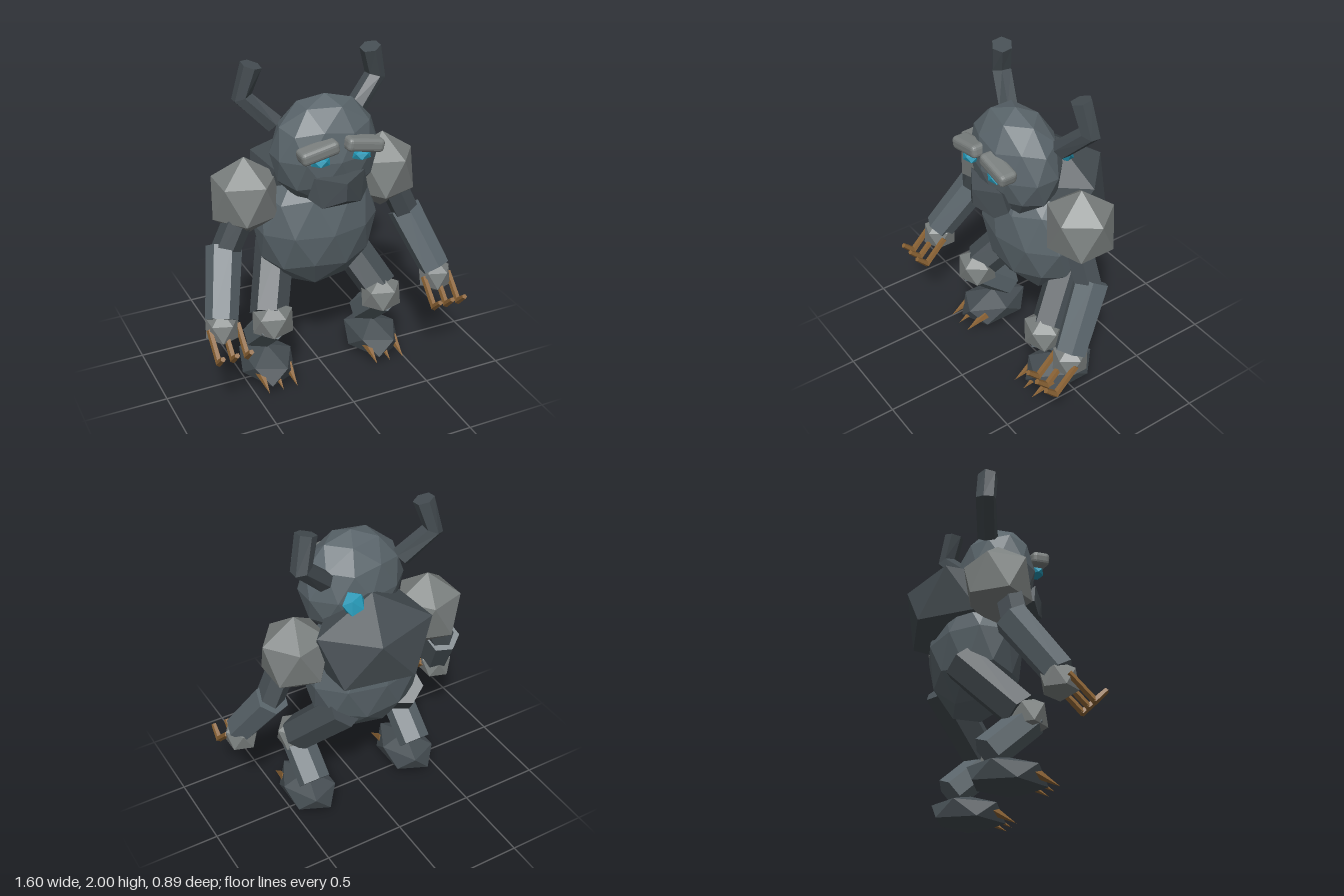
import * as THREE from 'three';
import { RoundedBoxGeometry } from 'three/addons/geometries/RoundedBoxGeometry.js';
import { ConvexGeometry } from 'three/addons/geometries/ConvexGeometry.js';

const mat = (color) => new THREE.MeshStandardMaterial({ color, flatShading: true });
const V = (x, y, z) => new THREE.Vector3(x, y, z);

export function createModel() {
  const model = new THREE.Group();
  const hide = mat(0x5a656b), dark = mat(0x454d52), stone = mat(0x7b807f);
  const claw = mat(0x8a6234), glow = mat(0x2496b4);

  function add(name, geometry, material, parent = model) {
    const mesh = new THREE.Mesh(geometry, material);
    mesh.name = name;
    parent.add(mesh);
    return mesh;
  }

  // Faceted ball standing on a pole, stretched to three radii
  function rock(name, pos, radii, material, detail = 0, parent = model) {
    const g = new THREE.IcosahedronGeometry(1, detail);
    g.rotateZ(-Math.atan(0.618034));
    g.scale(...radii);
    const mesh = add(name, g, material, parent);
    mesh.position.set(...pos);
    return mesh;
  }

  // Straight prism or cone between two points
  function limb(name, a, b, r0, r1, material, parent = model, sides = 6) {
    const from = V(...a), dir = V(...b).sub(from);
    const mesh = add(name, new THREE.CylinderGeometry(r1, r0, dir.length(), sides), material, parent);
    mesh.position.copy(from).addScaledVector(dir, 0.5);
    mesh.quaternion.setFromUnitVectors(V(0, 1, 0), dir.normalize());
    return mesh;
  }

  // Bent prism with a mitred ring at each path point
  function bentPrism(path, radius, sides) {
    const pts = path.map((p) => V(...p)), rings = [];
    pts.forEach((p, i) => {
      const t = pts[Math.min(i + 1, pts.length - 1)].clone().sub(pts[Math.max(i - 1, 0)]).normalize();
      const u = V(0, 0, 1).addScaledVector(t, -t.z).normalize(), w = t.clone().cross(u);
      rings.push(Array.from({ length: sides }, (_, k) => {
        const a = (k / sides) * Math.PI * 2;
        return p.clone().addScaledVector(u, Math.cos(a) * radius).addScaledVector(w, Math.sin(a) * radius);
      }));
    });
    const out = [];
    for (let i = 0; i < rings.length - 1; i++) {
      for (let k = 0; k < sides; k++) {
        const n = (k + 1) % sides, a = rings[i], b = rings[i + 1];
        out.push(a[k], a[n], b[n], a[k], b[n], b[k]);
      }
    }
    const first = rings[0], last = rings[rings.length - 1];
    for (let k = 1; k < sides - 1; k++) {
      out.push(first[0], first[k + 1], first[k], last[0], last[k], last[k + 1]);
    }
    const g = new THREE.BufferGeometry().setFromPoints(out);
    g.computeVertexNormals();
    return g;
  }

  // Torso, hunched back and head
  rock('body', [0, 0.99, -0.05], [0.385, 0.43, 0.275], hide, 1);
  rock('hunch', [0.01, 1.235, -0.17], [0.41, 0.313, 0.317], dark).rotation.y = 0.06;
  rock('head', [0, 1.49, 0.08], [0.325, 0.33, 0.23], hide, 1);
  const crystal = rock('backCrystal', [0.12, 1.5, -0.165], [0.075, 0.085, 0.05], glow);
  crystal.rotation.set(0.4, 0, -0.3);

  // Muzzle
  const muzzle = [V(0, 1.39, 0.375), V(0, 1.285, 0.375), V(0, 1.2, 0.25)];
  for (const s of [-1, 1]) {
    muzzle.push(V(s * 0.155, 1.413, 0.28), V(s * 0.187, 1.29, 0.26),
      V(s * 0.12, 1.235, 0.31), V(s * 0.1, 1.3, 0.15));
  }
  add('muzzle', new ConvexGeometry(muzzle), dark);

  for (const s of [-1, 1]) {
    const side = s > 0 ? 'left' : 'right';

    // Face and horns
    const brow = add(side + 'Brow', new RoundedBoxGeometry(0.23, 0.078, 0.11, 2, 0.025), stone);
    brow.position.set(s * 0.137, 1.578, 0.29);
    brow.rotation.z = -s * 0.2;
    rock(side + 'Eye', [s * 0.125, 1.515, 0.295], [0.062, 0.035, 0.05], glow);
    const horn = [[s * 0.25, 1.635, -0.05], [s * 0.415, 1.8, -0.113], [s * 0.365, 1.985, -0.085]];
    add(side + 'Horn', bentPrism(horn, 0.062, 6), dark);

    // Arm
    const arm = new THREE.Group();
    arm.name = side + 'Arm';
    model.add(arm);
    rock('shoulder', [s * 0.44, 1.22, -0.05], [0.222, 0.245, 0.215], stone, 0, arm);
    limb('upperArm', [s * 0.46, 1.2, 0], [s * 0.62, 0.86, 0], 0.085, 0.085, dark, arm);
    limb('forearm', [s * 0.587, 0.94, -0.025], [s * 0.7, 0.6, 0.2], 0.105, 0.095, hide, arm);
    rock('hand', [s * 0.7, 0.55, 0.2], [0.11, 0.115, 0.115], stone, 0, arm);
    for (const i of [-1, 0, 1]) {
      const x = s * 0.697 + i * 0.085;
      limb('finger', [x, 0.565, 0.22], [x, 0.425, 0.36], 0.019, 0.02, claw, arm, 5);
      limb('fingerTip', [x, 0.42, 0.352], [x, 0.495, 0.428], 0.021, 0.016, claw, arm, 5);
    }

    // Leg
    const leg = new THREE.Group();
    leg.name = side + 'Leg';
    model.add(leg);
    limb('thigh', [s * 0.2, 0.82, -0.19], [s * 0.37, 0.49, 0.1], 0.12, 0.115, dark, leg);
    rock('knee', [s * 0.36, 0.465, 0.135], [0.14, 0.128, 0.13], stone, 0, leg);
    limb('shin', [s * 0.365, 0.46, 0.16], [s * 0.365, 0.235, -0.09], 0.1, 0.1, hide, leg);
    rock('foot', [s * 0.36, 0.115, 0.022], [0.178, 0.112, 0.25], dark, 0, leg);
    for (const i of [-1, 0, 1]) {
      const x = s * 0.36 + i * 0.09;
      limb('toeClaw', [x, 0.125, 0.14], [x, 0.06, 0.287], 0.032, 0, claw, leg, 5);
    }
  }
  return model;
}
